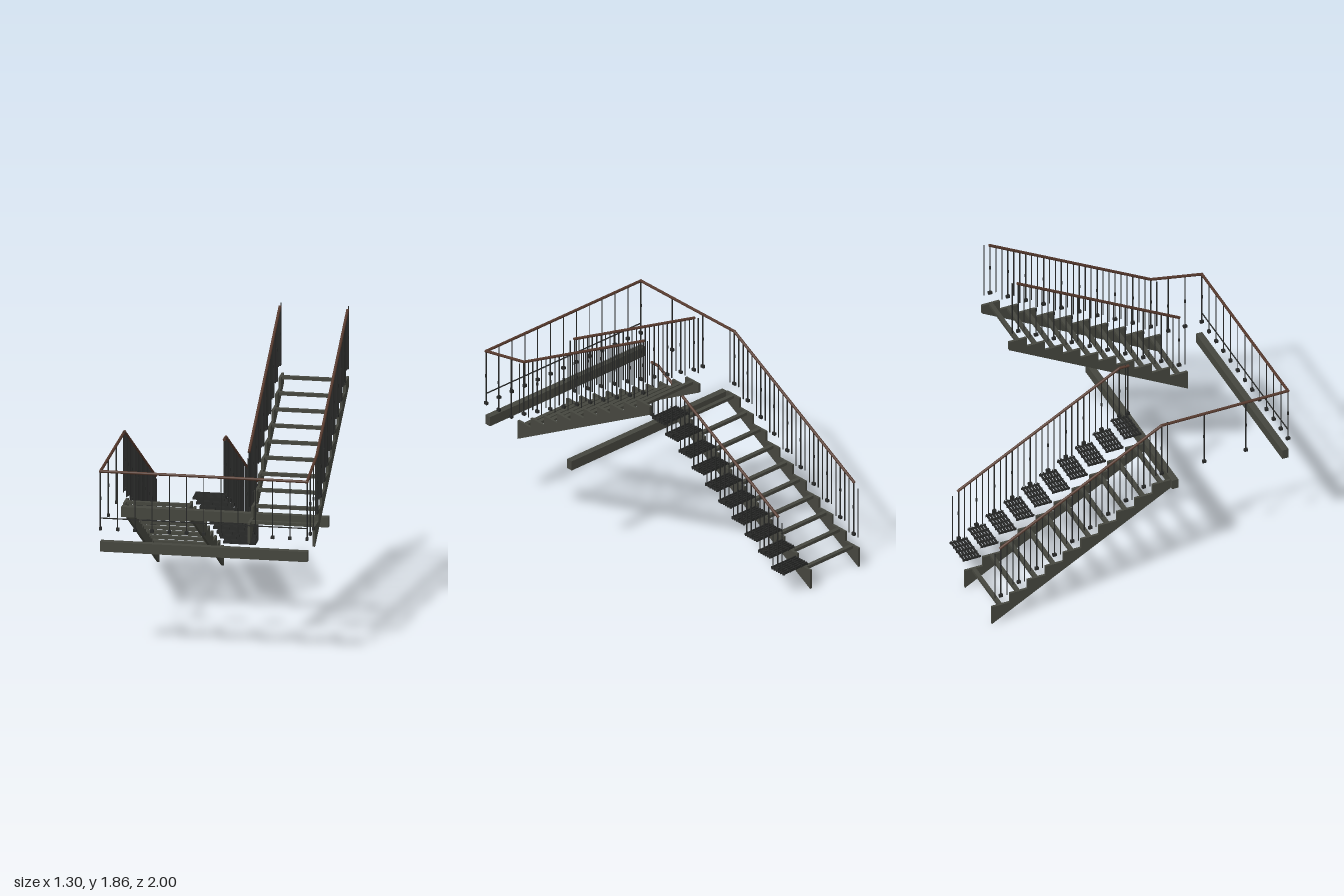
import * as THREE from 'three';

const mat = (name, color) => {
  const m = new THREE.MeshStandardMaterial({ color });
  m.name = name;
  return m;
};
const steel = mat('olive grey steel', 0x45463e);
const iron = mat('dark iron', 0x292a29);
const wood = mat('brown wood', 0x54382c);

const STEPS = 10, RUN = 0.12, RISE = 0.0671;
const FLOOR = 0.806; // level of the landing's baluster feet
const RAIL = 1.175;  // level of the landing's handrail

export function createModel() {
  const root = new THREE.Group();
  root.name = 'staircase';

  const group = (name, parent = root) => {
    const g = new THREE.Group();
    g.name = name;
    parent.add(g);
    return g;
  };
  const box = (parent, name, material, size, pos) => {
    const m = new THREE.Mesh(new THREE.BoxGeometry(...size), material);
    m.name = name;
    m.position.set(...pos);
    parent.add(m);
  };
  const cylinder = (parent, name, r, x, y0, y1, z) => {
    const m = new THREE.Mesh(new THREE.CylinderGeometry(r, r, y1 - y0, 8), iron);
    m.name = name;
    m.position.set(x, (y0 + y1) / 2, z);
    parent.add(m);
  };

  // Handrail: one round bar per straight run, slightly overlapping at the bends
  const handrail = (parent, points) => {
    for (let i = 0; i + 1 < points.length; i++) {
      const a = new THREE.Vector3(...points[i]), b = new THREE.Vector3(...points[i + 1]);
      const geo = new THREE.CylinderGeometry(0.009, 0.009, a.distanceTo(b) + 0.008, 12);
      const m = new THREE.Mesh(geo.rotateX(Math.PI / 2), wood);
      m.name = 'handrail';
      m.position.copy(a).lerp(b, 0.5);
      m.lookAt(b);
      parent.add(m);
    }
  };

  // Baluster on a foot block, which is longer along the railing
  const baluster = (parent, x, z, y0, y1, r, foot = [0.016, 0.018, 0.024]) => {
    const g = group('baluster', parent);
    cylinder(g, 'rod', r, x, y0, y1, z);
    box(g, 'foot', iron, foot, [x, y0 + 0.003, z]);
    return g;
  };
  const collaredBaluster = (parent, x, z, y0, y1) => {
    const g = baluster(parent, x, z, y0, y1, 0.0045);
    cylinder(g, 'collar', 0.0065, x, y0 + 0.185, y0 + 0.205, z);
  };

  // Sawtooth stringer, climbing along +u from u = 0
  const shape = new THREE.Shape();
  shape.moveTo(0, 0);
  for (let i = 0; i < STEPS; i++) {
    const y = 0.13 + i * RISE;
    shape.lineTo(i * RUN, y);
    shape.lineTo((i + 1) * RUN, y);
  }
  shape.lineTo(STEPS * RUN, 0.675);
  shape.closePath();
  const stringerGeo = new THREE.ExtrudeGeometry(shape, { depth: 0.016, bevelEnabled: false });
  stringerGeo.translate(0, 0, -0.008);

  // A flight: dir is the z direction of climbing
  const flight = (name, y0, z0, dir, xa, xb, railXs) => {
    const g = group(name);
    for (const x of [xa, xb]) {
      const s = new THREE.Mesh(stringerGeo, steel);
      s.name = 'stringer';
      s.position.set(x, y0, z0);
      s.rotation.y = -dir * Math.PI / 2;
      g.add(s);
    }
    const railY = u => y0 + 0.568 + (u - 0.06) * RISE / RUN;
    for (let i = 0; i < STEPS; i++) {
      const u = (i + 0.5) * RUN, top = y0 + 0.13 + i * RISE;
      box(g, 'crossbar', steel, [xb - xa, 0.02, 0.026], [(xa + xb) / 2, top - 0.01, z0 + dir * u]);
      for (const x of railXs) {
        collaredBaluster(g, x, z0 + dir * u, top + 0.07, railY(u));
        for (const d of [-0.04, 0.04])
          cylinder(g, 'thin rod', 0.0035, x, top + 0.065, railY(u + d) - 0.008, z0 + dir * (u + d));
      }
    }
    return g;
  };

  const lower = flight('lowerFlight', 0, -1, 1, -0.635, -0.235, [-0.643, -0.012]);
  const upper = flight('upperFlight', 0.675, 0.705, -1, 0.23, 0.634, [0.221, 0.642]);

  // Narrow grating treads beside the lower flight
  for (let i = 0; i < STEPS; i++) {
    const g = group('gratingTread', lower);
    const y = 0.184 + i * RISE, z = -1 + (i + 0.5) * RUN;
    for (let k = 0; k < 5; k++)
      box(g, 'bearing bar', iron, [0.005, 0.014, 0.12], [-0.207 + k * 0.048, y, z]);
    for (let k = 0; k < 6; k++)
      box(g, 'grating bar', iron, [0.2, 0.02, 0.006], [-0.109, y + 0.001, z - 0.05 + k * 0.02]);
  }

  // Inner handrails of the flights
  handrail(lower, [[-0.012, 0.568, -0.945], [-0.012, RAIL, 0.14], [-0.012, RAIL, 0.2]]);
  collaredBaluster(lower, -0.012, 0.195, FLOOR, RAIL);
  handrail(upper, [[0.221, 1.243, 0.645], [0.221, 1.847, -0.437]]);

  // Continuous outer handrail around the landing
  const landing = group('landing');
  handrail(landing, [
    [-0.643, 0.568, -0.945], [-0.643, RAIL, 0.14], [-0.643, RAIL, 0.988],
    [0.642, RAIL, 0.988], [0.642, 1.243, 0.645], [0.642, 1.847, -0.437],
  ]);

  // Landing beams
  for (const z of [0.97, 0.23])
    box(landing, 'beam', steel, [1.29, 0.064, 0.042], [0, 0.694, z]);

  // Landing balusters: front row, corners and both sides
  for (let i = 1; i < 12; i++)
    baluster(landing, -0.643 + i * 1.285 / 12, 0.988, FLOOR, RAIL, 0.003, [0.02, 0.018, 0.02]);
  for (const z of [0.988, 0.705, 0.425]) collaredBaluster(landing, -0.643, z, FLOOR, RAIL);
  for (const z of [0.988, 0.875, 0.762])
    collaredBaluster(landing, 0.642, z, FLOOR, RAIL + (0.988 - z) * 0.198);
  box(landing, 'lower rail', iron, [1.285, 0.006, 0.006], [0, 0.876, 0.988]);

  return root;
}
